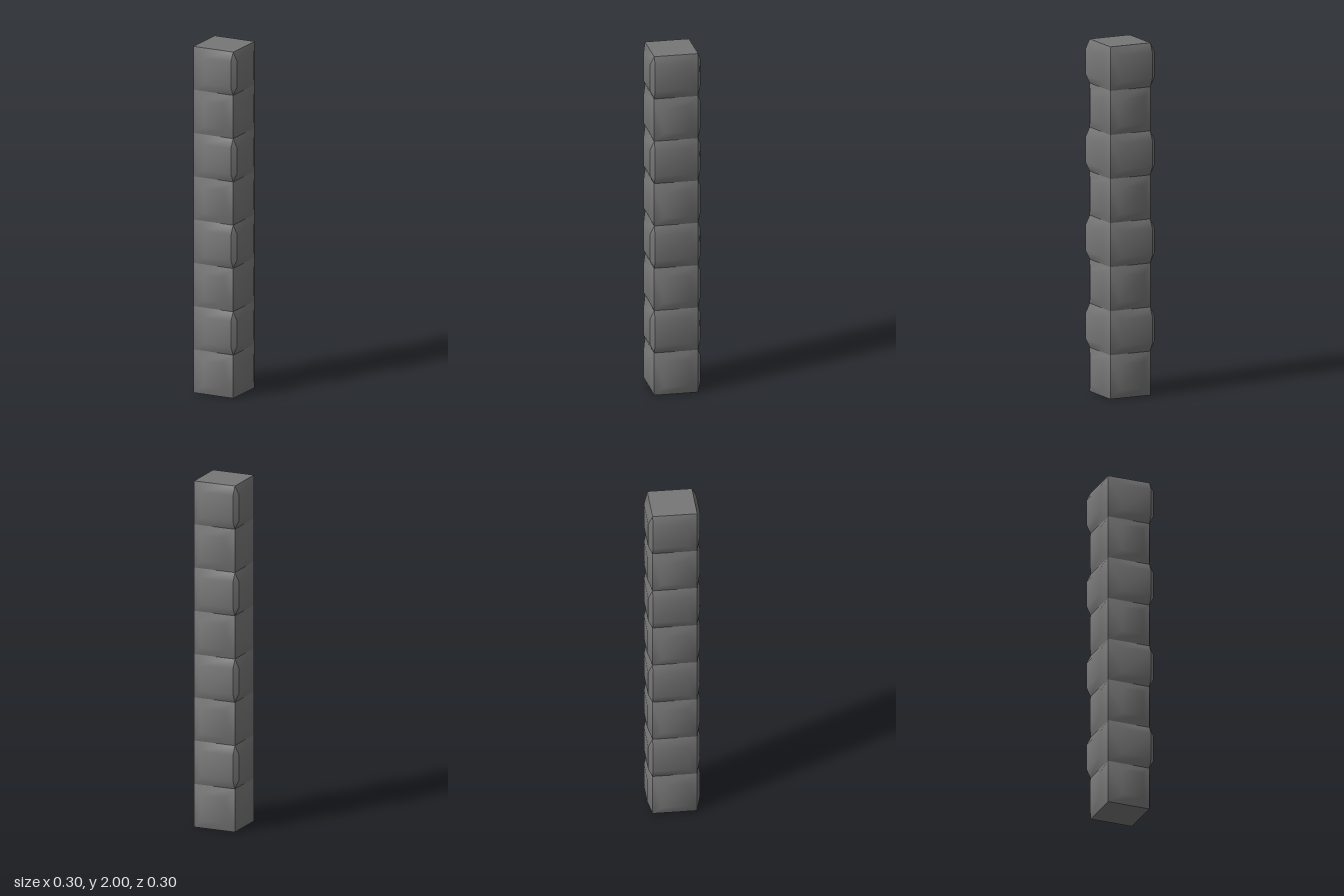
import * as THREE from 'three';

const H = 0.125;      // half width of the core
const BLOCK = 0.25;   // height of one block
const BULGE = 0.025;  // how far the pads stand out
const INSET = 0.05;   // usual width of a pad's sloping border
const COUNT = 8;

const material = new THREE.MeshStandardMaterial({ color: 0x777777 });

function makeMesh(name, points, index, angle) {
  const g = new THREE.BufferGeometry();
  g.setAttribute('position', new THREE.Float32BufferAttribute(points.flat(), 3));
  g.setIndex(index);
  g.computeVertexNormals();
  const mesh = new THREE.Mesh(g, material);
  mesh.name = name;
  mesh.rotation.y = angle;
  return mesh;
}

// Raised pad facing +z; a zero inset leaves that side open for the corner strip
function makePad(name, left, right, angle) {
  const z = H + BULGE, lo = INSET, hi = BLOCK - INSET;
  const points = [
    [-H, 0, H], [H, 0, H], [H, BLOCK, H], [-H, BLOCK, H],
    [-H + left, lo, z], [H - right, lo, z], [H - right, hi, z], [-H + left, hi, z],
  ];
  const index = [4, 5, 6, 4, 6, 7];
  for (let i = 0; i < 4; i++) {
    if ((i === 1 && right === 0) || (i === 3 && left === 0)) continue;
    const j = (i + 1) % 4;
    index.push(i, j, j + 4, i, j + 4, i + 4);
  }
  return makeMesh(name, points, index, angle);
}

// Bevelled strip joining two pads at the +x +z corner, pointed at both ends
function makeStrip(name, angle) {
  const o = H + BULGE, lo = INSET, hi = BLOCK - INSET;
  const points = [[H, 0, H], [H, lo, o], [o, lo, H], [o, hi, H], [H, hi, o], [H, BLOCK, H]];
  return makeMesh(name, points, [0, 2, 1, 1, 2, 3, 1, 3, 4, 4, 3, 5], angle);
}

function makeCap(name, y, up) {
  const g = new THREE.PlaneGeometry(2 * H, 2 * H);
  g.rotateX(up ? -Math.PI / 2 : Math.PI / 2);
  const mesh = new THREE.Mesh(g, material);
  mesh.name = name;
  mesh.position.y = y;
  return mesh;
}

export function createModel() {
  const model = new THREE.Group();
  model.name = 'blockPillar';
  const sides = ['frontPad', 'leftPad', 'backPad', 'rightPad'];

  for (let i = 0; i < COUNT; i++) {
    const bevelled = i % 2 === 1; // every other block has two bevelled corners
    const block = new THREE.Group();
    block.name = 'block' + (i + 1);
    block.position.y = i * BLOCK;
    sides.forEach((name, s) => {
      let left = s === 0 ? 0.075 : INSET;
      let right = INSET;
      if (bevelled && s % 2 === 0) right = 0;
      if (bevelled && s % 2 === 1) left = 0;
      block.add(makePad(name, left, right, s * Math.PI / 2));
    });
    if (bevelled) {
      block.add(makeStrip('frontCornerStrip', 0), makeStrip('backCornerStrip', Math.PI));
    }
    // Each block is a closed solid
    block.add(makeCap('topCap', BLOCK, true), makeCap('bottomCap', 0, false));
    model.add(block);
  }
  return model;
}
